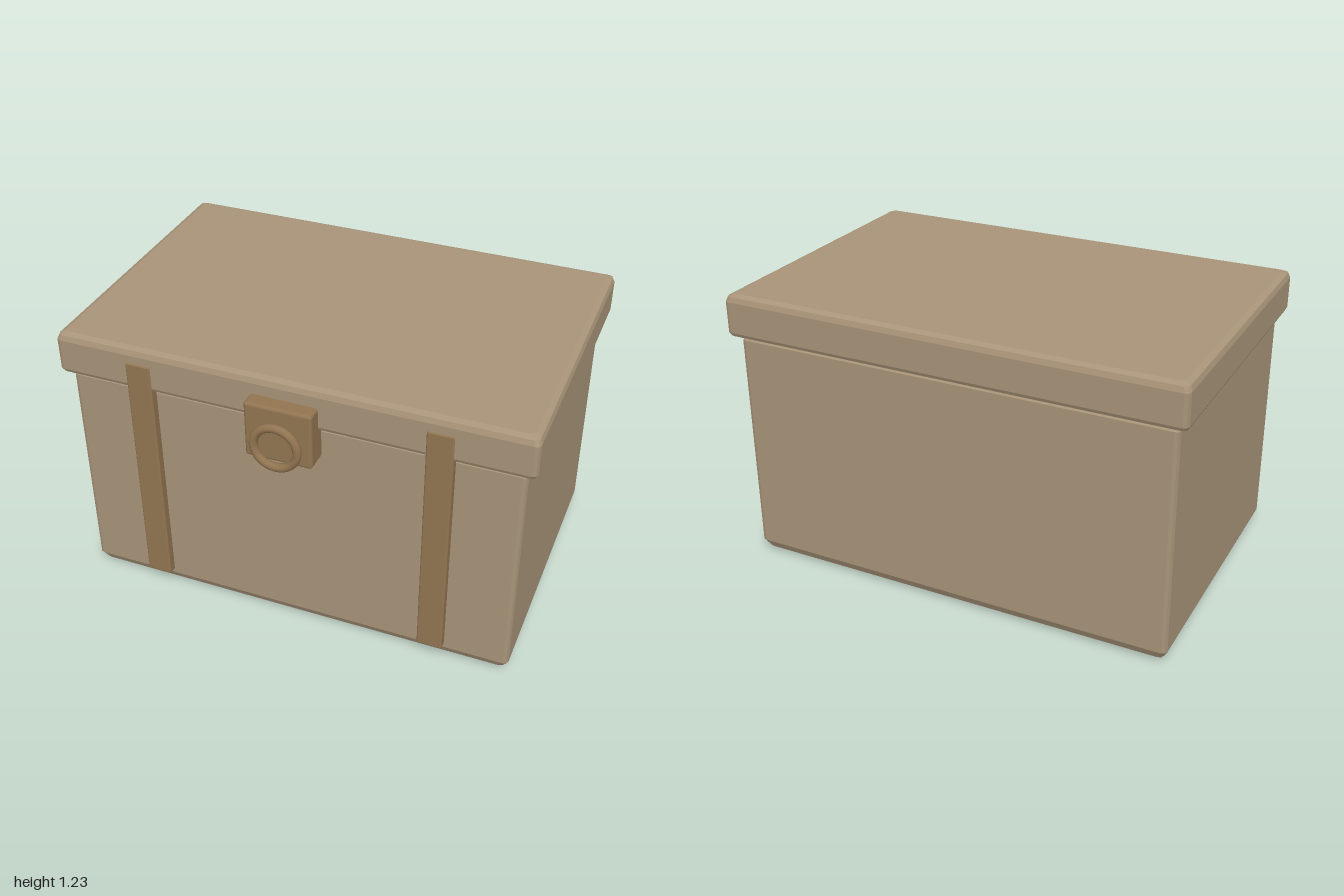
import * as THREE from 'three';
import { RoundedBoxGeometry } from 'three/addons/geometries/RoundedBoxGeometry.js';

// Box with bevelled edges: rings of [y, inset], each a rectangle with eased corners
function bevelledBox(halfX, zBack, zFront, rings, ease) {
  const halfZ = (zFront - zBack) / 2;
  const midZ = (zFront + zBack) / 2;
  const signs = [[1, 1], [1, -1], [-1, -1], [-1, 1]];
  const steps = 2;
  const pts = [];
  for (const [y, inset] of rings) {
    signs.forEach(([sx, sz], k) => {
      for (let s = 0; s <= steps; s++) {
        const a = (k - 1 + s / steps) * Math.PI / 2;
        const x = sx * (halfX - inset - ease) + ease * Math.cos(a);
        const z = sz * (halfZ - inset - ease) - ease * Math.sin(a);
        pts.push(x, y, midZ + z);
      }
    });
  }
  const n = signs.length * (steps + 1);
  const index = [];
  for (let r = 0; r < rings.length - 1; r++) {
    for (let i = 0; i < n; i++) {
      const a = r * n + i, b = r * n + (i + 1) % n;
      index.push(a, b, b + n, a, b + n, a + n);
    }
  }
  const top = (rings.length - 1) * n;
  for (let i = 1; i < n - 1; i++) {
    index.push(0, i + 1, i);
    index.push(top, top + i, top + i + 1);
  }
  const indexed = new THREE.BufferGeometry();
  indexed.setAttribute('position', new THREE.Float32BufferAttribute(pts, 3));
  indexed.setIndex(index);
  const geometry = indexed.toNonIndexed();
  geometry.computeVertexNormals();
  return geometry;
}

export function createModel() {
  const group = new THREE.Group();
  const wood = new THREE.MeshStandardMaterial({ color: 0xa89478 });
  wood.name = 'pale wood';
  const leather = new THREE.MeshStandardMaterial({ color: 0x927551 });
  leather.name = 'brown leather';

  const add = (name, geometry, material, x = 0, y = 0, z = 0) => {
    const mesh = new THREE.Mesh(geometry, material);
    mesh.name = name;
    mesh.position.set(x, y, z);
    group.add(mesh);
    return mesh;
  };

  // Chest body and overhanging lid
  add('body', bevelledBox(0.96, -0.675, 0.575,
    [[0, 0.06], [0.017, 0.02], [0.055, 0], [1.025, 0], [1.045, 0.015]], 0.02), wood);
  add('lid', bevelledBox(1, -0.71, 0.607,
    [[1.038, 0.03], [1.05, 0.007], [1.065, 0], [1.2, 0], [1.222, 0.008], [1.232, 0.03]], 0.02), wood);

  // Two front straps, running from near the base up onto the lid
  for (const side of [1, -1]) {
    add(side > 0 ? 'leftStrap' : 'rightStrap',
      new RoundedBoxGeometry(0.11, 1.09, 0.06, 2, 0.008), leather, side * 0.63, 0.62, 0.582);
  }

  // Clasp plate with its ring
  add('clasp', new RoundedBoxGeometry(0.284, 0.25, 0.11, 2, 0.014), leather, 0, 1.028, 0.617);
  add('claspRing', new THREE.TorusGeometry(0.092, 0.018, 10, 32), leather, 0, 0.99, 0.697);

  return group;
}
